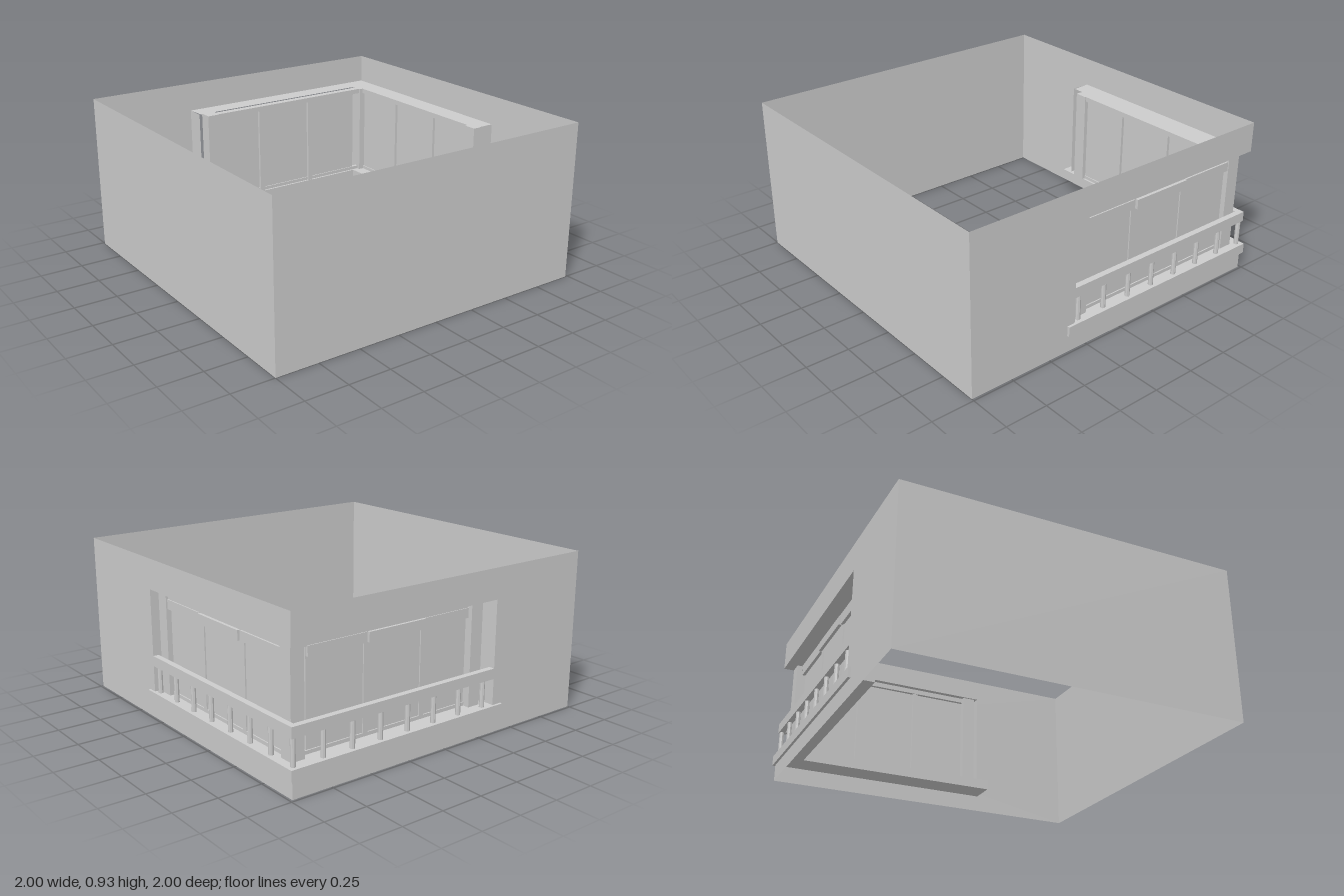
import * as THREE from 'three';

const W = -0.985;                       // plane of the two windowed walls
const TOP = 0.93, HEAD = 0.755, SILL = 0.16, SILL_BASE = 0.10;

export function createModel() {
  const group = new THREE.Group();
  const mat = new THREE.MeshStandardMaterial({ color: 0xcccccc, flatShading: true });
  const sheet = new THREE.MeshStandardMaterial({ color: 0xcccccc, flatShading: true, side: THREE.DoubleSide });

  const add = (name, geo, material = mat) => {
    const mesh = new THREE.Mesh(geo, material);
    mesh.name = name;
    group.add(mesh);
    return mesh;
  };
  const polygon = (pts) => new THREE.Shape(pts.map(([x, y]) => new THREE.Vector2(x, y)));

  // An arm runs along u (x for the back, z for the side); d is depth from the wall inward.
  const box = (name, side, [u0, u1], [y0, y1], [d0, d1]) => {
    const u = u1 - u0, d = d1 - d0, cu = (u0 + u1) / 2, cd = (d0 + d1) / 2, cy = (y0 + y1) / 2;
    const geo = side ? new THREE.BoxGeometry(d, y1 - y0, u) : new THREE.BoxGeometry(u, y1 - y0, d);
    add(name, geo).position.set(side ? cd : cu, cy, side ? cu : cd);
  };
  // Upright sheet drawn in (u, y), standing at depth d.
  const upright = (name, side, pts, d) => {
    const geo = new THREE.ShapeGeometry(polygon(pts));
    if (side) geo.rotateY(-Math.PI / 2).translate(d, 0, 0);
    else geo.translate(0, 0, d);
    add(name, geo, sheet);
  };

  // Plain walls
  const full = [[W, 0], [1, 0], [1, TOP], [W, TOP]];
  upright('frontWall', false, full, 1);
  upright('rightWall', true, full, 1);

  // L-shaped sill running through the wall
  const sill = new THREE.ExtrudeGeometry(
    polygon([[-1, 1], [-1, -0.42], [-0.855, -0.42], [-0.855, 0.825], [0.38, 0.825], [0.38, 1]]),
    { depth: SILL - SILL_BASE, bevelEnabled: false });
  add('sill', sill.rotateX(-Math.PI / 2).translate(0, SILL_BASE, 0));

  // L-shaped soffit over the opening
  const soffit = new THREE.ShapeGeometry(
    polygon([[W, -W], [W, -0.36], [-0.87, -0.35], [-0.87, 0.89], [0.33, 0.89], [0.33, -W]]));
  add('soffit', soffit.rotateX(-Math.PI / 2).translate(0, HEAD, 0), sheet);

  // Corner post
  box('cornerPost', false, [-0.93, -0.845], [SILL, 0.74], [-0.95, -0.87]);

  const arms = [
    { side: false, end: 0.33, depth: -0.89, railStart: W, railEnd: 0.36, post: [0.22, 0.30], glass: -0.915,
      panels: [[-0.87, -0.50, -0.945], [-0.495, -0.12, -0.955], [-0.11, 0.26, -0.942]] },
    { side: true, end: 0.36, depth: -0.87, railStart: -0.95, railEnd: 0.385, post: [0.23, 0.31], glass: -0.88,
      panels: [[-0.83, -0.465, -0.905], [-0.46, -0.085, -0.915], [-0.08, 0.295, -0.905]] },
  ];

  for (const { side, end, depth, railStart, railEnd, post, glass, panels } of arms) {
    // Wall with the opening that wraps the corner
    upright(side ? 'leftWall' : 'backWall', side,
      [[W, 0], [1, 0], [1, TOP], [W, TOP], [W, HEAD], [end, HEAD], [end, 0.13], [W, 0.13]], W);

    // Jamb at the end of the opening
    const jamb = new THREE.PlaneGeometry(depth - W, HEAD - SILL);
    if (!side) jamb.rotateY(Math.PI / 2);
    const mid = (depth + W) / 2;
    add('jamb', jamb, sheet).position.set(side ? mid : end, (HEAD + SILL) / 2, side ? end : mid);

    // End post, head rail and foot rail of the window
    box('endPost', side, post, [SILL, 0.74], side ? [-0.93, -0.85] : [-0.95, -0.87]);
    const span = [side ? -0.87 : -0.845, post[0]];
    box('headRail', side, span, [0.71, 0.74], [glass - 0.02, glass + 0.025]);
    box('footRail', side, span, [SILL, 0.18], [glass - 0.012, glass + 0.012]);

    // Window panels, each with its blind casing on the outside
    panels.forEach(([u0, u1, d], i) => {
      box('windowPanel', side, [Math.max(u0, span[0]), Math.min(u1 + 0.006, span[1])],
        [SILL, 0.72], [glass - 0.005, glass + 0.005]);
      box('blindCasing', side, [u0, u1], [0.66, 0.715], [d, d + 0.018]);
      if (i < 2) box('mullion', side, [u1 - 0.012, u1 + 0.018], [SILL, 0.735], [glass - 0.012, glass + 0.022]);
    });

    // Railing
    box('handrail', side, [railStart, railEnd], [0.31, 0.37], [W, -0.95]);
    for (let i = side ? 1 : 0; i < 8; i++) {
      const u = -0.967 + i * 0.18;
      const baluster = add('baluster', new THREE.CylinderGeometry(0.014, 0.014, 0.15, 8));
      baluster.position.set(side ? -0.967 : u, 0.235, side ? u : -0.967);
    }
  }
  return group;
}
